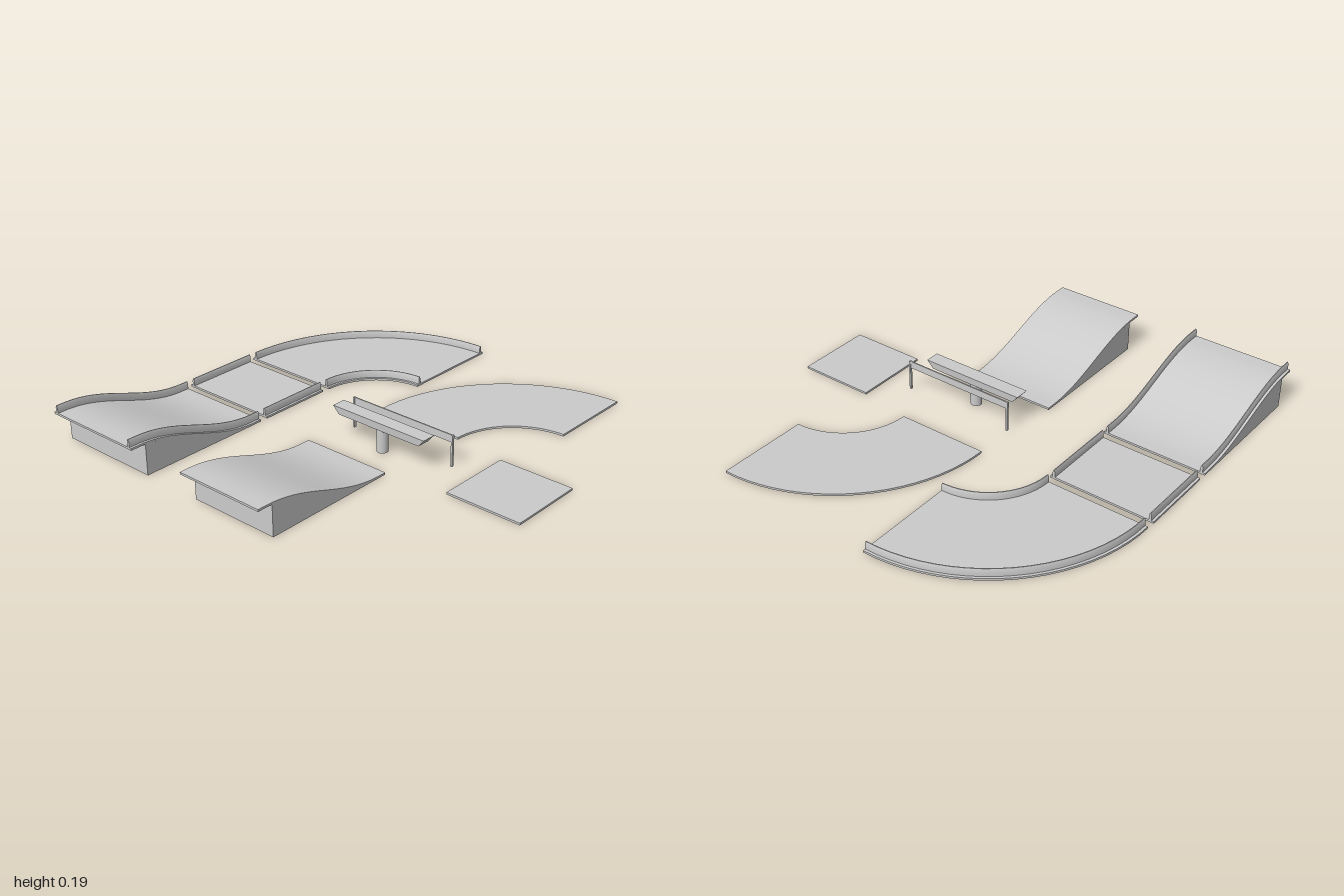
import * as THREE from 'three';
import { toCreasedNormals } from 'three/addons/utils/BufferGeometryUtils.js';

const material = new THREE.MeshStandardMaterial({ color: 0xcccccc });
const SLAB = 0.01;

function add(parent, name, geometry, x = 0, y = 0, z = 0) {
  const mesh = new THREE.Mesh(geometry, material);
  mesh.name = name;
  mesh.position.set(x, y, z);
  parent.add(mesh);
  return mesh;
}

// Sweep a convex counter-clockwise [side, up] profile along a list of { p, side } frames.
function sweep(profile, path) {
  const rings = path.map(({ p, side }) => profile.map(([u, v]) =>
    [p.x + side.x * u, p.y + v, p.z + side.z * u]));
  const pos = [];
  const tri = (a, b, c) => pos.push(...a, ...b, ...c);
  const n = profile.length;
  for (let i = 0; i < rings.length - 1; i++) {
    for (let j = 0; j < n; j++) {
      const k = (j + 1) % n, a = rings[i], b = rings[i + 1];
      tri(a[j], a[k], b[k]);
      tri(a[j], b[k], b[j]);
    }
  }
  const first = rings[0], last = rings[rings.length - 1];
  for (let j = 1; j < n - 1; j++) {
    tri(first[0], first[j + 1], first[j]);
    tri(last[0], last[j], last[j + 1]);
  }
  const geometry = new THREE.BufferGeometry();
  geometry.setAttribute('position', new THREE.Float32BufferAttribute(pos, 3));
  return toCreasedNormals(geometry, 0.5);
}

// Path running toward +z at the height given by a function
function straightPath(x, z0, z1, height, steps) {
  return Array.from({ length: steps + 1 }, (_, i) => {
    const z = z0 + (z1 - z0) * i / steps;
    return { p: new THREE.Vector3(x, height(z), z), side: new THREE.Vector3(1, 0, 0) };
  });
}

// Quarter turn from the -x side to the -z side of a centre
function quarterPath(cx, cz, r, steps = 20) {
  return Array.from({ length: steps + 1 }, (_, i) => {
    const a = Math.PI * (1 + 0.5 * i / steps);
    const side = new THREE.Vector3(Math.cos(a), 0, Math.sin(a));
    return { p: new THREE.Vector3(cx + r * side.x, SLAB, cz + r * side.z), side };
  });
}

const slabProfile = (w) => [[-w / 2, -SLAB], [w / 2, -SLAB], [w / 2, 0], [-w / 2, 0]];

// Thin upright with a tapered top edge
const railProfile = (u) => [[u - 0.006, 0], [u + 0.006, 0], [u + 0.006, 0.026],
  [u + 0.002, 0.036], [u - 0.002, 0.036], [u - 0.006, 0.026]];

function track(name, width, path, rails) {
  const group = new THREE.Group();
  group.name = name;
  add(group, 'trackSurface', sweep(slabProfile(width), path));
  if (rails) {
    for (const s of [-1, 1]) {
      add(group, s < 0 ? 'innerRail' : 'outerRail', sweep(railProfile(s * (width / 2 - 0.018)), path));
    }
  }
  return group;
}

// S-curve of the ramp surface
function rampHeight(z) {
  const t = THREE.MathUtils.clamp((z - 0.3) / 0.66, 0, 1);
  return SLAB + 0.148 * (1 - Math.cos(Math.PI * t)) / 2;
}

// Wall under the ramp, from z0 to z1, following the underside
function rampWall(width, z0, z1) {
  const shape = new THREE.Shape();
  shape.moveTo(z0, 0);
  shape.lineTo(z1, 0);
  for (let i = 0; i <= 20; i++) {
    const z = z1 + (z0 - z1) * i / 20;
    shape.lineTo(z, rampHeight(z) - SLAB);
  }
  const geometry = new THREE.ExtrudeGeometry(shape, { depth: width, bevelEnabled: false });
  geometry.rotateY(-Math.PI / 2).translate(width / 2, 0, 0);
  return toCreasedNormals(geometry, 0.5);
}

function ramp(name, x, width, rails) {
  const group = track(name, width, straightPath(x, 0.26, 1, rampHeight, 28), rails);
  const t = 0.045;
  // Hollow base, open underneath
  for (const s of [-1, 1]) {
    add(group, 'rampSideWall', rampWall(t, 0.31, 0.925), x + s * (width - t) / 2);
  }
  add(group, 'rampEndWall', rampWall(width - 2 * t, 0.925 - t, 0.925), x);
  add(group, 'rampToe', rampWall(width - 2 * t, 0.31, 0.41), x);
  return group;
}

function balanceBeam() {
  const group = new THREE.Group();
  group.name = 'balanceBeam';
  add(group, 'beamPost', new THREE.CylinderGeometry(0.027, 0.027, 0.115, 24), 0, 0.0575, 0);
  // Block whose underside is shorter than its top
  const block = new THREE.BoxGeometry(0.515, 0.037, 0.07);
  const p = block.attributes.position;
  for (let i = 0; i < p.count; i++) {
    if (p.getY(i) < 0) p.setXYZ(i, p.getX(i) * 0.88, p.getY(i), p.getZ(i) * 0.9);
  }
  block.computeVertexNormals();
  add(group, 'beamTop', block, 0, 0.1315, 0);
  group.position.set(0.147, 0, 0.107);
  return group;
}

function gate() {
  const group = new THREE.Group();
  group.name = 'gate';
  add(group, 'gateBanner', new THREE.BoxGeometry(0.56, 0.035, 0.006), 0, 0.1325, 0);
  for (const s of [-1, 1]) {
    add(group, 'gatePost', new THREE.BoxGeometry(0.009, 0.15, 0.011), s * 0.278, 0.075, 0);
  }
  group.position.set(0.183, 0, 0.018);
  return group;
}

export function createModel() {
  const model = new THREE.Group();
  model.name = 'trackSet';
  const flat = () => SLAB;

  // Railed pieces
  model.add(ramp('railedRamp', -0.7065, 0.513, true));
  model.add(track('railedStraight', 0.513, straightPath(-0.7065, -0.15, 0.22, flat, 1), true));
  model.add(track('railedCurve', 0.513, quarterPath(-0.15, -0.19, 0.5535), true));

  // Plain pieces
  model.add(ramp('plainRamp', 0.0725, 0.445, false));
  model.add(track('plainCurve', 0.442, quarterPath(0.663, -0.19, 0.554), false));
  model.add(track('plainTile', 0.37, straightPath(0.778, -0.15, 0.22, flat, 1), false));

  model.add(balanceBeam(), gate());
  return model;
}
